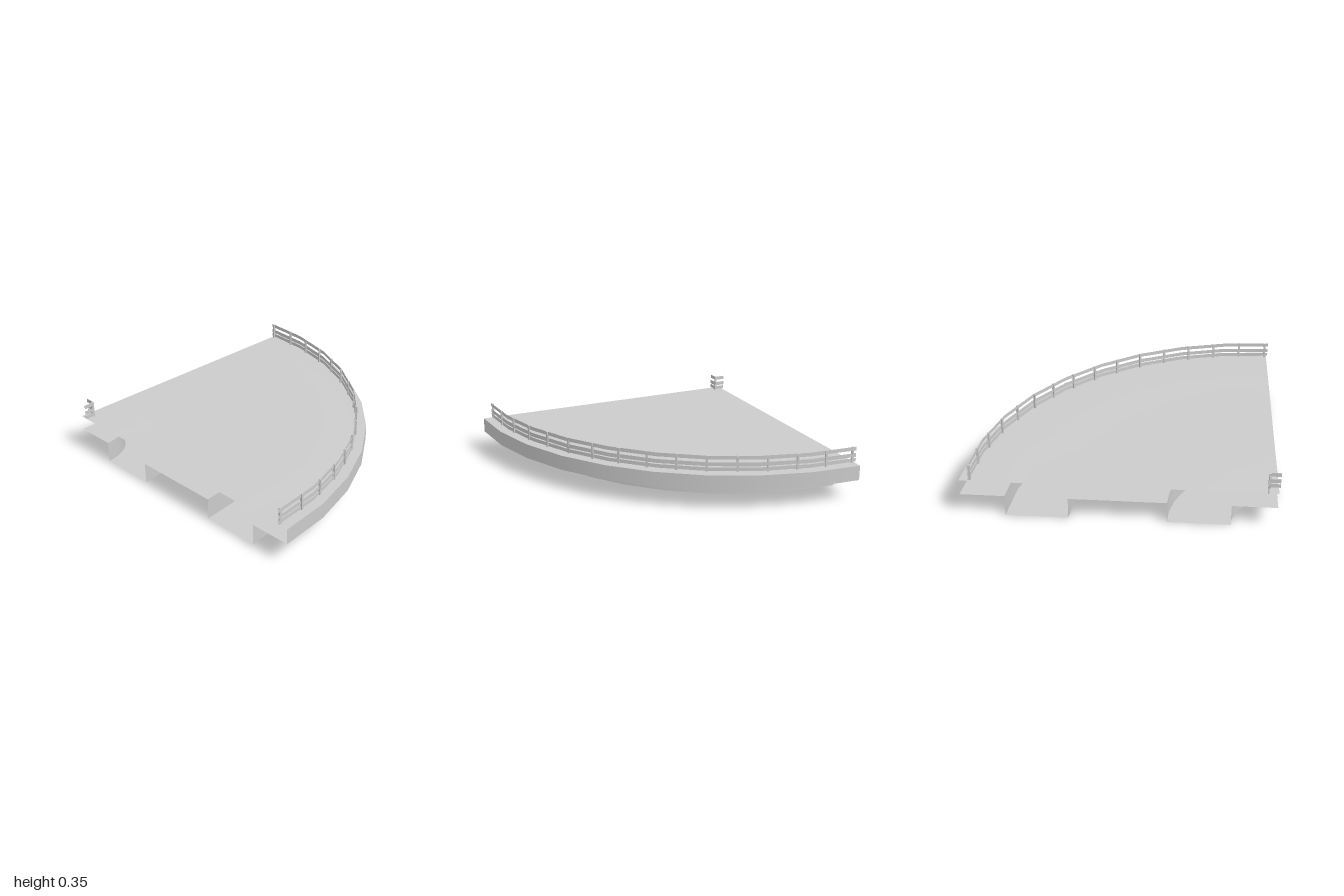
import * as THREE from 'three';
import { mergeGeometries } from 'three/addons/utils/BufferGeometryUtils.js';

const C = -0.99;            // centre of the quarter circle in x and z
const QUARTER = Math.PI / 2;
const SEGS = 9;             // 10 degree steps
const DECK_Y = 0.245;
const RAILS = [[0.25, 0.275], [0.283, 0.31], [0.329, 0.355]];

const mat = new THREE.MeshStandardMaterial({ color: 0xcccccc, side: THREE.DoubleSide });

// Sweep each profile piece on its own so edges between pieces stay sharp
function sweep(points, start = 0, length = QUARTER) {
  const parts = [];
  for (let i = 0; i < points.length - 1; i++) {
    const pair = [points[i], points[i + 1]].map(([r, y]) => new THREE.Vector2(r, y));
    parts.push(new THREE.LatheGeometry(pair, SEGS, start, length));
  }
  return mergeGeometries(parts);
}

function add(parent, name, geometry, x = C, y = 0, z = C) {
  const mesh = new THREE.Mesh(geometry, mat);
  mesh.name = name;
  mesh.position.set(x, y, z);
  parent.add(mesh);
  return mesh;
}

// Tent-shaped rise between two radii
const tent = (r, a, b) => Math.max(0, 1 - Math.abs(r - (a + b) / 2) / ((b - a) / 2));

function deckTop() {
  const radii = [1.99, 1.745, 1.66, 1.56, 1.0, 0.45, 0.39, 0.33, 0];
  const geo = new THREE.LatheGeometry(radii.map(r => new THREE.Vector2(r, DECK_Y)), SEGS, 0, QUARTER);
  const p = geo.attributes.position;
  for (let i = 0; i < p.count; i++) {
    const x = p.getX(i), z = p.getZ(i), r = Math.hypot(x, z);
    const angle = Math.atan2(x, z);
    const fade = Math.min(1, Math.max(0, Math.min(angle, QUARTER - angle) / (Math.PI / 18)));
    p.setY(i, DECK_Y + 0.007 * fade * (tent(r, 1.56, 1.745) + tent(r, 0.33, 0.45)));
  }
  geo.computeVertexNormals();
  return geo;
}

export function createModel() {
  const model = new THREE.Group();
  model.name = 'curvedDeckCorner';

  // Open-ended shell: underside, two curved supports and outer edge
  add(model, 'deckShell', sweep([
    [0, 0.142], [0.285, 0.142], [0.285, 0], [0.685, 0], [0.685, 0.142],
    [1.305, 0.142], [1.305, 0], [1.705, 0], [1.705, 0.142],
    [1.99, 0.142], [1.99, DECK_Y],
  ]));

  // Deck surface with two low curved rises
  add(model, 'deckTop', deckTop());

  // Outer railing
  const outer = new THREE.Group();
  outer.name = 'outerRailing';
  model.add(outer);
  const R = 1.925;
  for (const [lo, hi] of RAILS) {
    add(outer, 'outerRail', sweep([[R, lo], [R, hi]], -0.005, QUARTER + 0.01));
  }
  const postH = 0.355 - DECK_Y;
  const postGeo = new THREE.BoxGeometry(0.014, postH, 0.014);
  for (let i = 0; i < 16; i++) {
    const a = THREE.MathUtils.degToRad(0.45 + i * 5.94);
    const r = R - 0.006;
    const post = add(outer, 'outerPost', postGeo,
      C + r * Math.sin(a), DECK_Y + postH / 2, C + r * Math.cos(a));
    post.rotation.y = a;
  }

  // Small right-angled railing at the inner corner
  const inner = new THREE.Group();
  inner.name = 'innerRailing';
  model.add(inner);
  const len = 0.075, edge = -1 + len;
  for (const [lo, hi] of RAILS) {
    const h = hi - lo, y = (lo + hi) / 2;
    add(inner, 'innerRailFront', new THREE.BoxGeometry(len, h, 0.004), -1 + len / 2, y, edge);
    add(inner, 'innerRailSide', new THREE.BoxGeometry(0.004, h, len), edge, y, -1 + len / 2);
  }
  add(inner, 'innerPost', postGeo, edge - 0.006, DECK_Y + postH / 2, edge - 0.006);

  return model;
}
